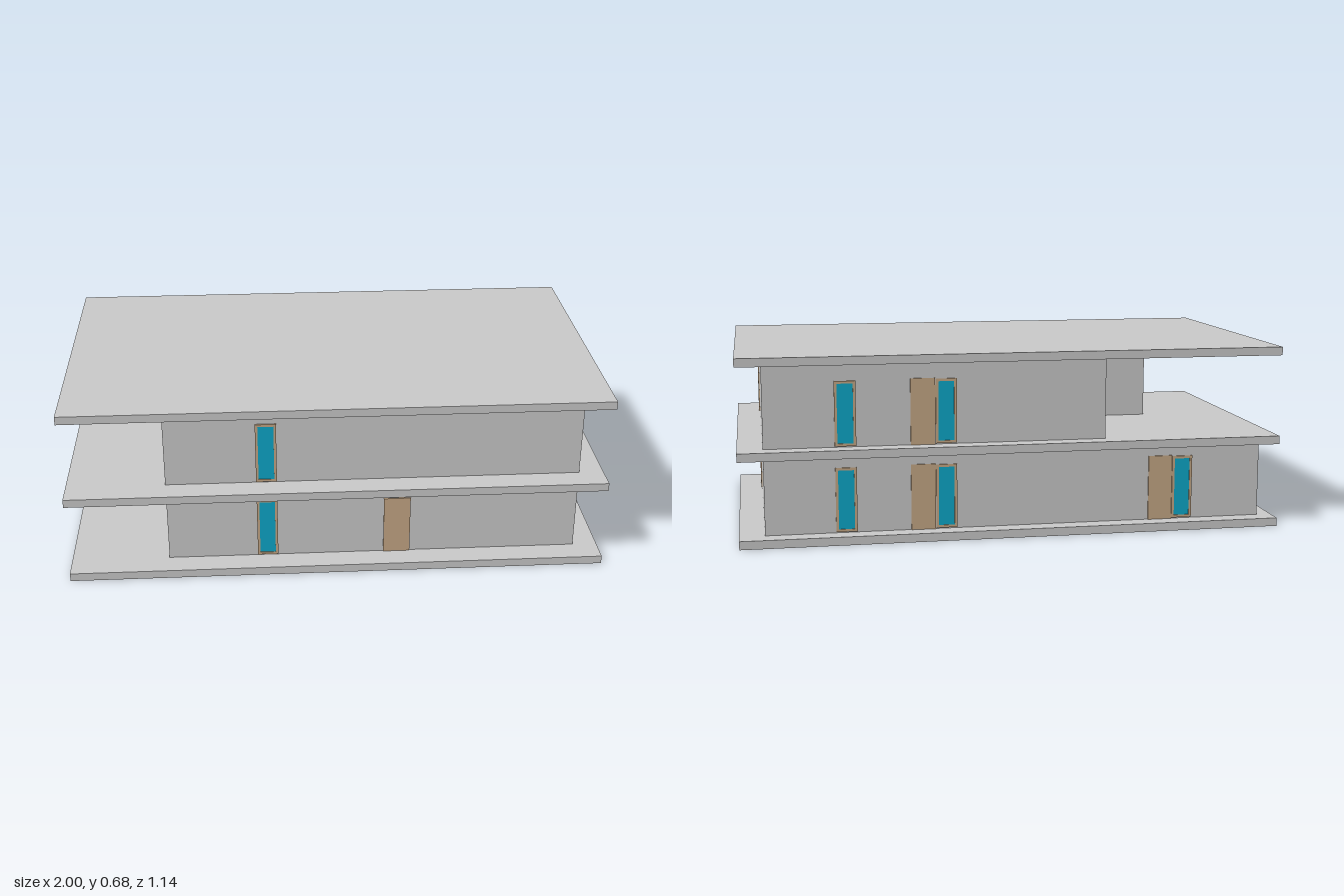
import * as THREE from 'three';

const concrete = new THREE.MeshStandardMaterial({ color: 0xc9c9c9 });
concrete.name = 'concrete grey';
const wood = new THREE.MeshStandardMaterial({ color: 0xc5a785 });
wood.name = 'light wood';
const glass = new THREE.MeshStandardMaterial({ color: 0x0da7c9 });
glass.name = 'blue glass';

const DOOR_W = 0.09, WIN_W = 0.077, WIN_H = 0.236;

function box(name, w, h, d, material, x = 0, y = 0, z = 0) {
  const mesh = new THREE.Mesh(new THREE.BoxGeometry(w, h, d), material);
  mesh.name = name;
  mesh.position.set(x, y, z);
  return mesh;
}

// Storey walls extruded upward from a plan of [x, z] corners
function storey(name, plan, y0, y1) {
  const shape = new THREE.Shape(plan.map(([x, z]) => new THREE.Vector2(x, -z)));
  const geo = new THREE.ExtrudeGeometry(shape, { depth: y1 - y0, bevelEnabled: false });
  geo.rotateX(-Math.PI / 2);
  const mesh = new THREE.Mesh(geo, concrete);
  mesh.name = name;
  mesh.position.y = y0;
  return mesh;
}

// Door leaf: a thin plate standing on the floor, facing local +z
function door(height = 0.243, width = DOOR_W) {
  const group = new THREE.Group();
  group.name = 'door';
  group.add(box('doorLeaf', width, height, 0.008, wood, 0, height / 2, 0.001));
  return group;
}

// Window: a wooden frame with the pane set slightly back
function windowUnit() {
  const group = new THREE.Group();
  group.name = 'window';
  const w = WIN_W / 2, t = 0.0095, y0 = 0.004, y1 = y0 + WIN_H;
  const rect = (C, x, a, b) => new C([[-x, a], [x, a], [x, b], [-x, b]].map(p => new THREE.Vector2(...p)));
  const outline = rect(THREE.Shape, w, y0, y1);
  outline.holes.push(rect(THREE.Path, w - t, y0 + t, y1 - t));
  const frame = new THREE.Mesh(new THREE.ExtrudeGeometry(outline, { depth: 0.007, bevelEnabled: false }), wood);
  frame.name = 'windowFrame';
  frame.position.z = -0.002;
  group.add(frame, box('windowPane', WIN_W - 2 * t, WIN_H - 2 * t, 0.004, glass, 0, (y0 + y1) / 2, 0));
  return group;
}

export function createModel() {
  const model = new THREE.Group();
  model.name = 'twoStoreyHouse';

  // Floor slabs and roof
  [['groundSlab', 0.015], ['middleSlab', 0.33], ['roofSlab', 0.665]].forEach(([name, y]) =>
    model.add(box(name, 2, 0.031, 1.142, concrete, 0, y, 0)));

  // L-shaped storeys: wide wing below, terrace above
  const R = 0.908, F = 0.479, B = -0.505, step = -0.01, side = -0.635;
  const plan = backX => [[side, F], [R, F], [R, B], [backX, B], [backX, step], [side, step]];
  const floors = [0.03, 0.345];
  model.add(storey('lowerWalls', plan(-0.945), floors[0], 0.315));
  model.add(storey('upperWalls', plan(-0.345), floors[1], 0.65));

  // Place an opening on a wall, turned to face outward
  const put = (part, x, y, z, turn) => {
    part.position.set(x, y, z);
    part.rotation.y = turn * Math.PI / 2;
    model.add(part);
  };

  // Openings shared by both storeys
  floors.forEach(y => {
    put(windowUnit(), -0.262, y, F, 0);
    put(windowUnit(), 0.615, y, B, 2);
    put(door(), 0.335, y, B, 2);
    put(windowUnit(), 0.25, y, B, 2);
    put(door(), R, y, 0.408, 1);
  });

  // Ground floor only
  const y = floors[0];
  put(door(0.23, 0.1), 0.226, y, F, 0);
  put(windowUnit(), R, y, 0.325, 1);
  put(door(), -0.558, y, B, 2);
  put(windowUnit(), -0.643, y, B, 2);
  put(door(), -0.945, y, -0.345, 3);
  put(windowUnit(), -0.945, y, -0.261, 3);

  return model;
}
